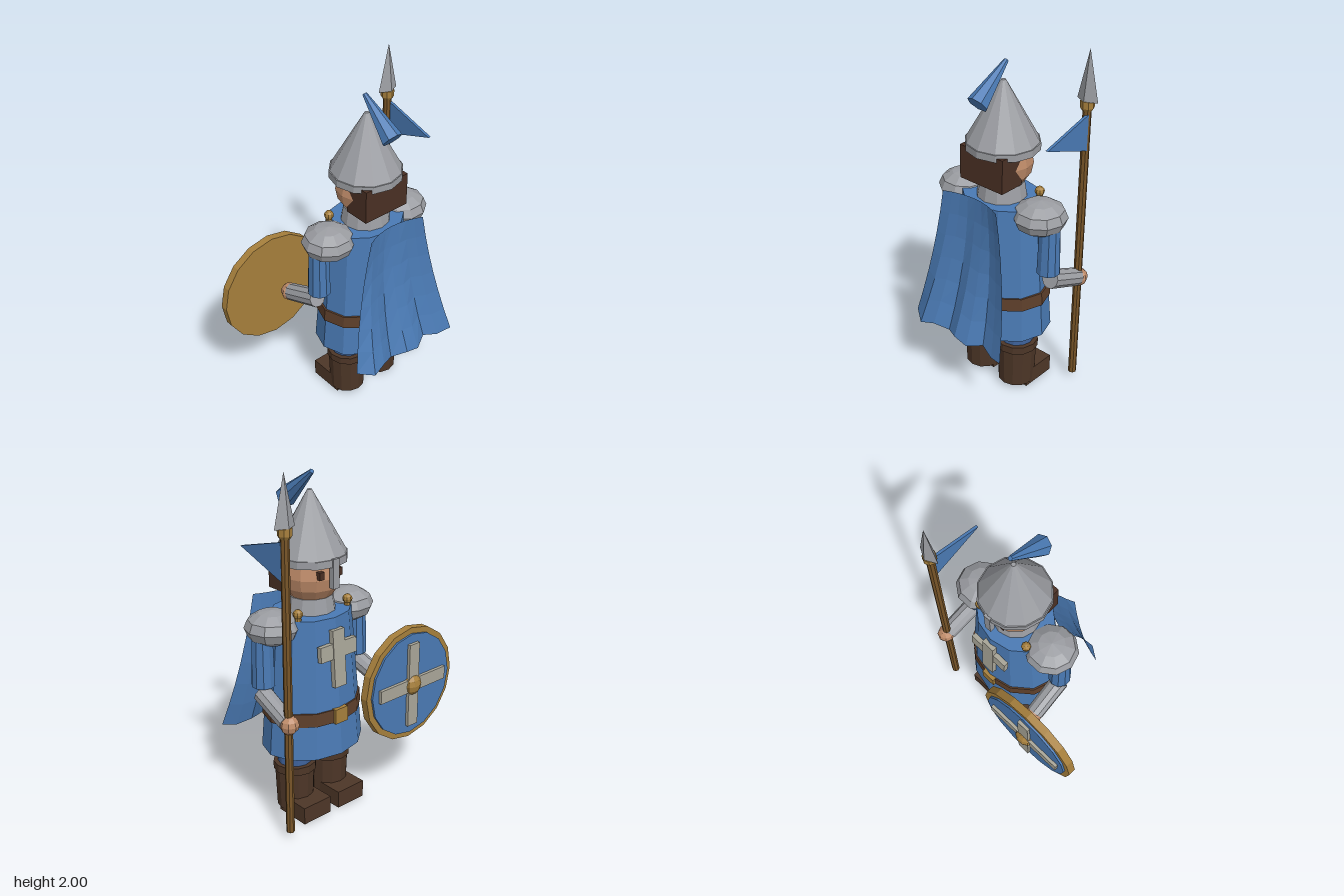
import * as THREE from 'three';

const paint = (name, color, side = THREE.FrontSide) => {
  const m = new THREE.MeshStandardMaterial({ color, flatShading: true, side });
  m.name = name;
  return m;
};

export function createModel() {
  const blue = paint('blue cloth', 0x4a7ab4, THREE.DoubleSide);
  const darkBlue = paint('dark blue cloth', 0x3e639c);
  const silver = paint('steel', 0x9b9da2);
  const gold = paint('brass', 0xa67f3c);
  const skin = paint('skin', 0xbd8a68);
  const leather = paint('boot leather', 0x4d3627);
  const hairBrown = paint('dark hair', 0x4a3024);
  const beltBrown = paint('belt leather', 0x5e3f2a);
  const wood = paint('wood', 0x785528);
  const ivory = paint('ivory', 0xa9a698);

  const model = new THREE.Group();
  model.name = 'guard';
  const body = new THREE.Group();
  body.name = 'body';
  body.position.x = 0.16;
  model.add(body);

  const add = (parent, name, geo, mat, x = 0, y = 0, z = 0) => {
    const mesh = new THREE.Mesh(geo, mat);
    mesh.name = name;
    mesh.position.set(x, y, z);
    parent.add(mesh);
    return mesh;
  };
  const box = (w, h, d) => new THREE.BoxGeometry(w, h, d);
  const cyl = (rTop, rBottom, h, n = 12) => new THREE.CylinderGeometry(rTop, rBottom, h, n);
  const ball = (r, n = 10, m = 6) => new THREE.SphereGeometry(r, n, m);
  // Cylinder running between two points
  const rod = (parent, name, a, b, ra, rb, mat, n) => {
    const dir = b.clone().sub(a);
    const mesh = add(parent, name, cyl(rb, ra, dir.length(), n), mat);
    mesh.position.copy(a).addScaledVector(dir, 0.5);
    mesh.quaternion.setFromUnitVectors(new THREE.Vector3(0, 1, 0), dir.normalize());
    return mesh;
  };
  const V = (x, y, z) => new THREE.Vector3(x, y, z);

  // Tunic and belt, flattened front to back
  add(body, 'tunic', cyl(0.235, 0.3, 0.78), blue, 0, 0.78, 0.005).scale.z = 0.82;
  add(body, 'belt', cyl(0.288, 0.292, 0.075), beltBrown, 0, 0.622, 0.005).scale.z = 0.82;
  add(body, 'buckle', box(0.085, 0.085, 0.03), gold, 0, 0.622, -0.225);
  add(body, 'gorget', cyl(0.122, 0.14, 0.11), silver, 0, 1.2, 0.01);

  // Chest emblem, leaning with the tunic
  const emblem = new THREE.Group();
  emblem.name = 'chestCross';
  emblem.position.set(0, 0.95, -0.208);
  emblem.rotation.x = 0.066;
  body.add(emblem);
  add(emblem, 'crossUpright', box(0.08, 0.32, 0.03), ivory);
  add(emblem, 'crossBar', box(0.25, 0.085, 0.028), ivory, 0, 0.045, 0.003);

  // Limbs on both sides
  for (const s of [-1, 1]) {
    const side = s > 0 ? 'left' : 'right';
    const lx = s * 0.125;
    add(body, side + 'Leg', cyl(0.095, 0.095, 0.25), darkBlue, lx, 0.36, 0.01);
    add(body, side + 'Boot', cyl(0.112, 0.102, 0.25), leather, lx, 0.147, 0.01);
    add(body, side + 'BootCuff', cyl(0.12, 0.12, 0.045), leather, lx, 0.277, 0.01);
    add(body, side + 'Toe', box(0.19, 0.1, 0.21), leather, lx, 0.05, -0.075);

    add(body, side + 'UpperArm', cyl(0.056, 0.064, 0.3, 10), blue, s * 0.33, 0.97, 0.01);
    add(body, side + 'Pauldron', ball(0.147), silver, s * 0.263, 1.13, 0.01).scale.y = 0.64;
    rod(body, side + 'Forearm', V(s * 0.34, 0.775, 0.005), V(s * 0.353, 0.692, -0.21), 0.053, 0.05, silver, 10);
    add(body, side + 'Hand', ball(0.052, 8, 6), skin, s * 0.354, 0.685, -0.228);
    add(body, side + 'Clasp', ball(0.027, 8, 6), gold, s * 0.173, 1.205, -0.092);
    add(body, side + 'ClaspBase', cyl(0.016, 0.02, 0.05, 8), gold, s * 0.173, 1.17, -0.092);
    add(body, side + 'Eye', box(0.03, 0.042, 0.03), hairBrown, s * 0.062, 1.4, -0.142);
  }

  // Head and helmet
  add(body, 'head', ball(0.163, 12, 8), skin, 0, 1.37, 0.005);
  add(body, 'hair', box(0.29, 0.19, 0.15), hairBrown, 0, 1.372, 0.1);
  add(body, 'helmetBand', cyl(0.2, 0.2, 0.04), silver, 0, 1.465, 0.008);
  add(body, 'helmetCone', cyl(0.012, 0.195, 0.33), silver, 0, 1.648, 0.008);
  add(body, 'noseGuard', box(0.04, 0.16, 0.03), silver, 0, 1.41, -0.18);
  rod(body, 'plume', V(0, 1.735, 0.2), V(0, 1.908, -0.012), 0.058, 0.013, blue, 7);

  // Cape: a fluted sheet widening and sweeping back towards the hem
  const folds = [-0.05, 0.01, -0.01, -0.045, 0, 0, -0.045, -0.015, 0.01];
  const cols = folds.length - 1, rows = 6;
  const cape = new THREE.PlaneGeometry(1, 1, cols, rows);
  const p = cape.attributes.position;
  for (let j = 0; j <= rows; j++) {
    for (let i = 0; i <= cols; i++) {
      const t = j / rows, u = (i / cols) * 2 - 1;
      const topZ = 0.22 + 0.045 * u * u;
      const hemZ = 0.385 + folds[i];
      const hem = 0.415 + (i % 2 ? 0 : 0.02);
      p.setXYZ(j * (cols + 1) + i,
        u * (0.185 + 0.15 * t),
        1.22 + (hem - 1.22) * t,
        topZ + (hemZ - topZ) * t * t + folds[i] * 0.6 * t * (1 - t));
    }
  }
  cape.computeVertexNormals();
  add(body, 'cape', cape, blue);

  // Spear with pennant
  const spear = new THREE.Group();
  spear.name = 'spear';
  spear.position.set(0.514, 0, -0.22);
  model.add(spear);
  add(spear, 'shaft', cyl(0.023, 0.023, 1.67, 8), wood, 0, 0.875);
  add(spear, 'collar', cyl(0.037, 0.037, 0.038, 8), gold, 0, 1.712);
  add(spear, 'collarBase', cyl(0.037, 0.025, 0.018, 8), gold, 0, 1.684);
  add(spear, 'spearhead', new THREE.ConeGeometry(0.064, 0.27, 4), silver, 0, 1.865).scale.z = 0.53;
  const flag = new THREE.Shape([[0.01, 1.66], [0.01, 1.46], [0.326, 1.57]].map(([x, y]) => new THREE.Vector2(x, y)));
  const pennant = add(spear, 'pennant',
    new THREE.ExtrudeGeometry(flag, { depth: 0.016, bevelEnabled: false }), blue, 0.005);
  pennant.rotation.y = -Math.PI / 2;
  pennant.position.x = 0.02;

  // Round shield facing forward
  const shield = new THREE.Group();
  shield.name = 'shield';
  shield.position.set(-0.255, 0.713, 0);
  model.add(shield);
  const disc = (name, r, zBack, zFront, mat) => {
    const m = add(shield, name, cyl(r, r, zBack - zFront, 16), mat, 0, 0, (zBack + zFront) / 2);
    m.rotation.x = Math.PI / 2;
  };
  disc('shieldRim', 0.33, -0.295, -0.34, gold);
  disc('shieldFace', 0.297, -0.335, -0.352, blue);
  add(shield, 'shieldBar', box(0.5, 0.075, 0.02), ivory, 0, 0, -0.36);
  add(shield, 'shieldUpright', box(0.075, 0.49, 0.02), ivory, 0, 0, -0.3605);
  add(shield, 'boss', ball(0.061), gold, 0, 0, -0.352).scale.z = 0.8;

  return model;
}
